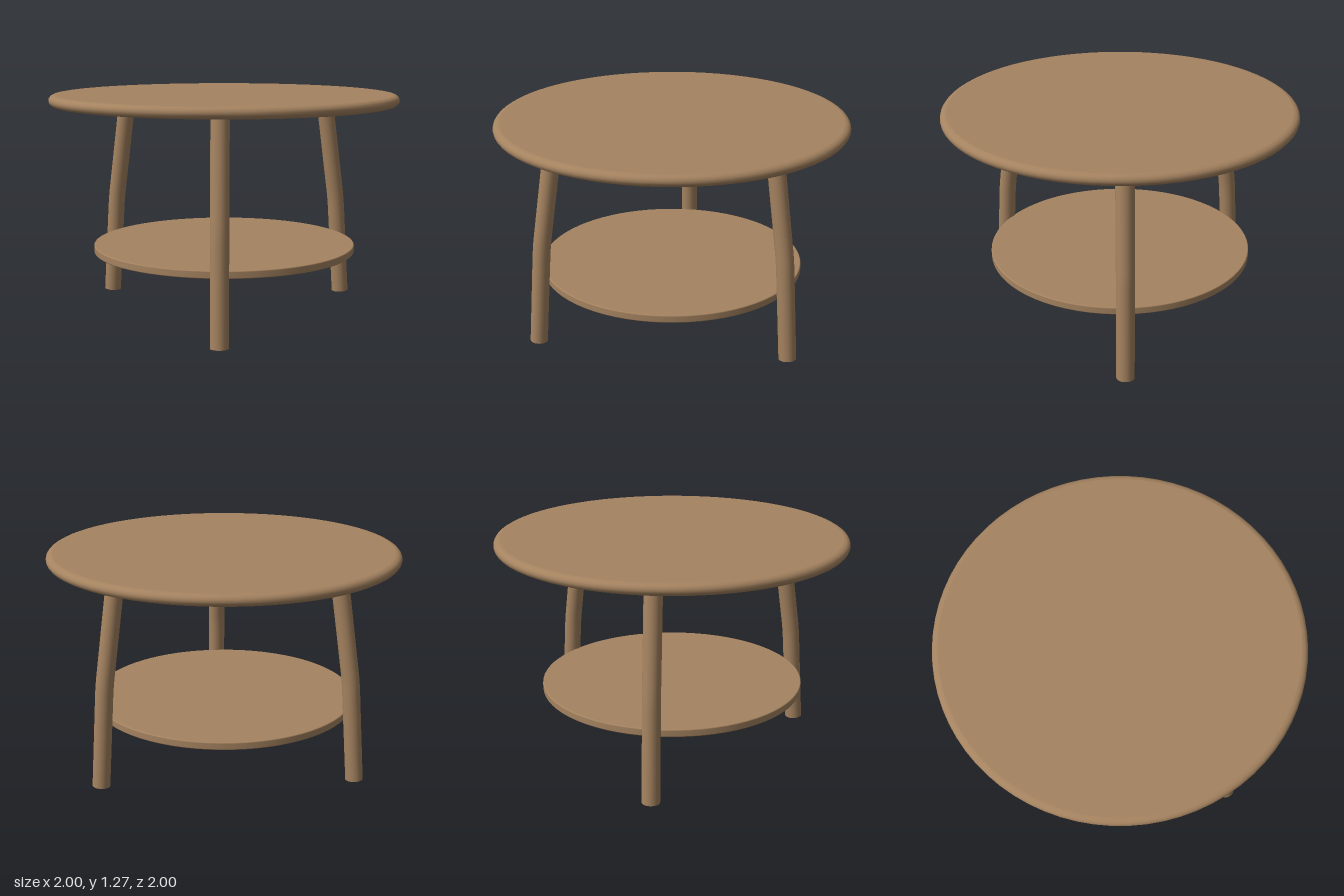
import * as THREE from 'three';

const wood = new THREE.MeshStandardMaterial({ color: 0xa58360 });
wood.name = 'wood';

// Round board with a rounded rim; repeated points keep the flat faces crisp
function board(name, radius, bottom, top, inset) {
  const mid = (bottom + top) / 2;
  const bevel = Math.min(inset, (top - bottom) / 2);
  const rim = [];
  for (let i = 0; i <= 4; i++) {
    const a = (i / 4) * Math.PI / 2;
    rim.push([radius - inset + inset * Math.sin(a), bevel * (1 - Math.cos(a))]);
  }
  const lower = rim.map(([r, h]) => new THREE.Vector2(r, bottom + h));
  const upper = rim.map(([r, h]) => new THREE.Vector2(r, top - h)).reverse();
  if (upper[0].y - mid < 1e-6) upper.shift();
  const profile = [
    new THREE.Vector2(0, bottom), lower[0].clone(),
    ...lower, ...upper,
    upper[upper.length - 1].clone(), new THREE.Vector2(0, top),
  ];
  const mesh = new THREE.Mesh(new THREE.LatheGeometry(profile, 72), wood);
  mesh.name = name;
  return mesh;
}

// Bent round leg in the y/z plane, closed at both ends
function createLeg(name) {
  const foot = new THREE.Vector3(0, 0.005, 0.83);
  const knee = new THREE.Vector3(0, 0.59, 0.787);
  const head = new THREE.Vector3(0, 1.2, 0.695);
  const bendStart = knee.clone().lerp(foot, 0.1);
  const bendEnd = knee.clone().lerp(head, 0.1);
  const path = new THREE.CurvePath();
  path.add(new THREE.LineCurve3(foot, bendStart));
  path.add(new THREE.QuadraticBezierCurve3(bendStart, knee, bendEnd));
  path.add(new THREE.LineCurve3(bendEnd, head));

  const leg = new THREE.Group();
  leg.name = name;
  const shaft = new THREE.Mesh(new THREE.TubeGeometry(path, 40, 0.05, 24), wood);
  shaft.name = 'legShaft';
  leg.add(shaft);
  const ends = [['legFootCap', foot, bendStart], ['legTopCap', head, bendEnd]];
  for (const [capName, end, inner] of ends) {
    const cap = new THREE.Mesh(new THREE.CircleGeometry(0.05, 24), wood);
    cap.name = capName;
    cap.position.copy(end);
    cap.quaternion.setFromUnitVectors(
      new THREE.Vector3(0, 0, 1), end.clone().sub(inner).normalize());
    leg.add(cap);
  }
  return leg;
}

export function createModel() {
  const table = new THREE.Group();
  table.name = 'roundTable';
  table.add(board('tableTop', 1, 1.207, 1.27, 0.036));
  table.add(board('lowerShelf', 0.76, 0.357, 0.4, 0.006));

  // Three legs, one at the front
  ['frontLeg', 'backLeftLeg', 'backRightLeg'].forEach((name, i) => {
    const leg = createLeg(name);
    leg.rotation.y = (i * Math.PI * 2) / 3;
    table.add(leg);
  });
  return table;
}
